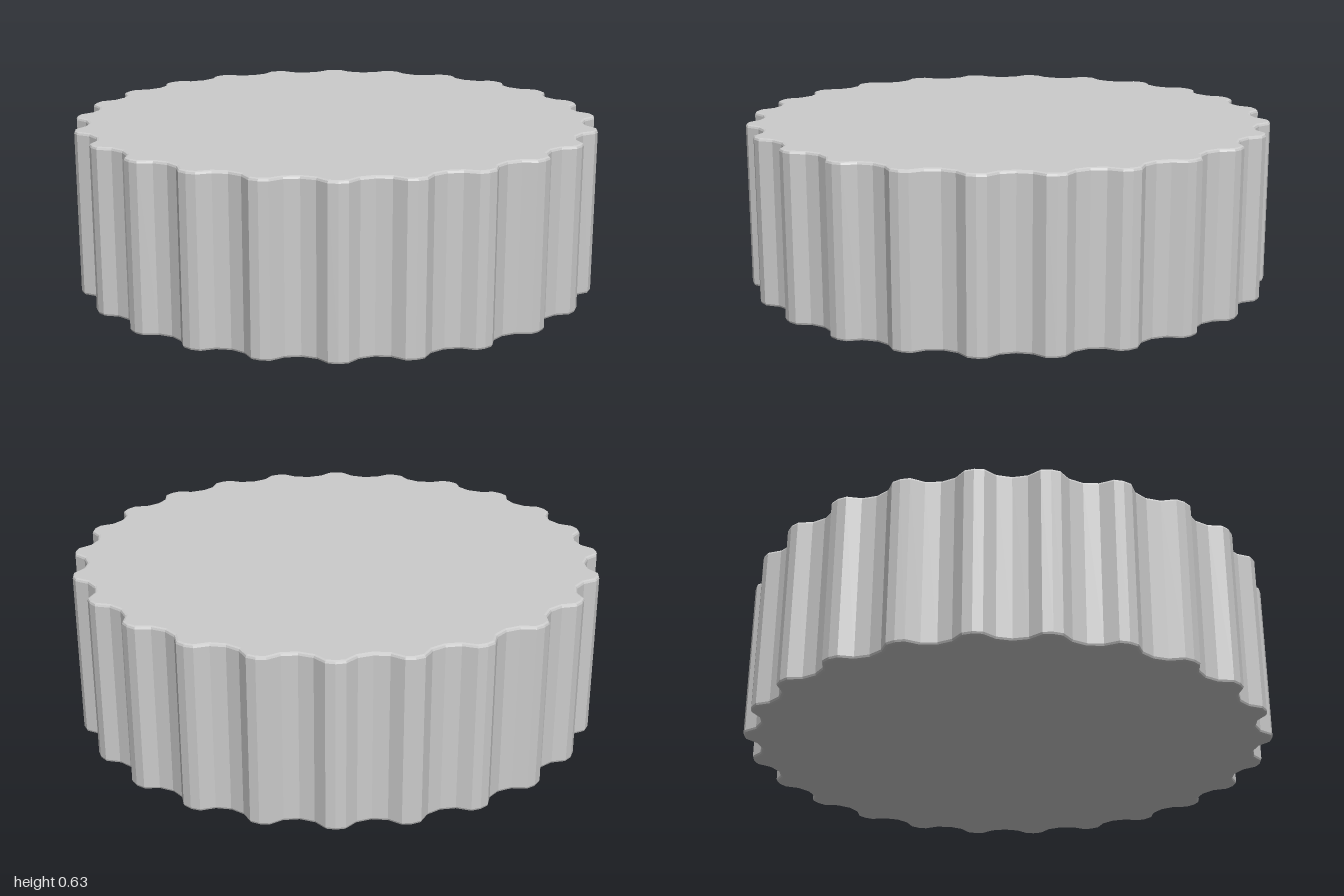
import * as THREE from 'three';

const TEETH = 24;
const HEIGHT = 0.635;
const BEVEL = 0.01;

// One tooth: angle from its middle (degrees) and radius, ending in the next valley
const TOOTH = [[-4.3, 0.964], [-2, 1.003], [0, 1.009], [2, 1.003], [4.3, 0.964], [7.5, 0.95]];

// Scalloped outline, with a valley on each axis
function outline() {
  const points = [];
  for (let i = 0; i < TEETH; i++) {
    const middle = (i + 0.5) * (360 / TEETH);
    for (const [offset, radius] of TOOTH) {
      const a = THREE.MathUtils.degToRad(middle + offset);
      points.push(new THREE.Vector2(Math.cos(a) * radius, Math.sin(a) * radius));
    }
  }
  return new THREE.Shape(points);
}

export function createModel() {
  const group = new THREE.Group();
  group.name = 'ridgedCap';

  // Solid ridged disc with finely bevelled rims
  const geometry = new THREE.ExtrudeGeometry(outline(), {
    depth: HEIGHT - 2 * BEVEL,
    bevelEnabled: true,
    bevelThickness: BEVEL,
    bevelSize: BEVEL,
    bevelOffset: -BEVEL,
    bevelSegments: 2,
  });
  geometry.rotateX(-Math.PI / 2);
  geometry.translate(0, BEVEL, 0);

  const body = new THREE.Mesh(
    geometry,
    new THREE.MeshStandardMaterial({ color: 0xcccccc, flatShading: true }),
  );
  body.name = 'ridgedBody';
  group.add(body);
  return group;
}
